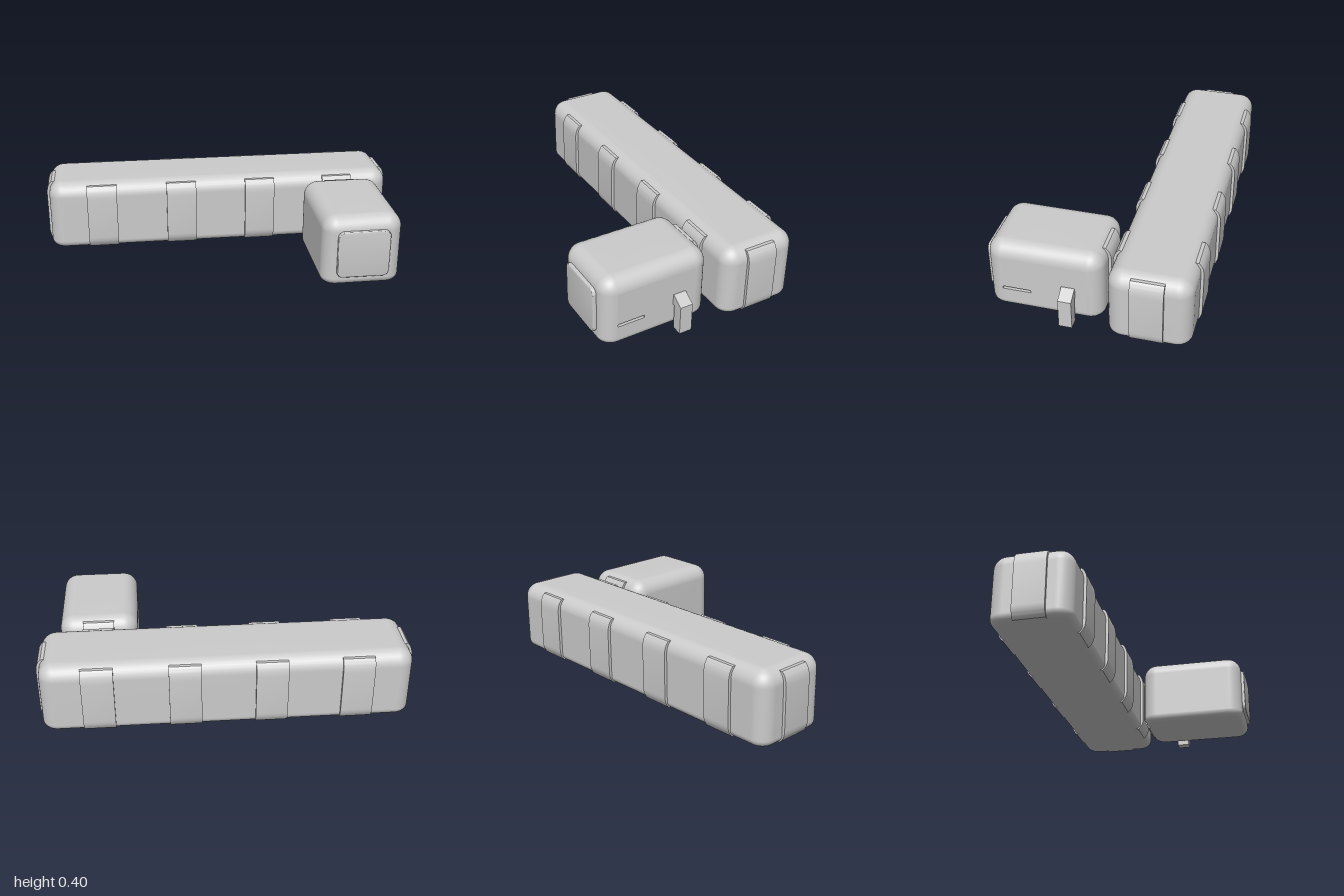
import * as THREE from 'three';
import { toCreasedNormals } from 'three/addons/utils/BufferGeometryUtils.js';

const material = new THREE.MeshStandardMaterial({ color: 0xcccccc });
const Y0 = 0.01, Y1 = 0.4;                       // underside and top of both bodies
const CORNER = 0.08, R_BOTTOM = 0.04, R_TOP = 0.08;
const STEPS = 8;

function add(parent, name, geometry) {
  const mesh = new THREE.Mesh(geometry, material);
  mesh.name = name;
  parent.add(mesh);
  return mesh;
}

// Box lofted from rounded rectangles: soft top edge, tighter bottom edge.
// openSide leaves out the flat of the +x wall so a slotted panel can fill it.
function softBox(w, d, openSide = false) {
  const rings = [];
  for (let i = 0; i <= STEPS; i++) {
    const a = (i / STEPS) * Math.PI / 2;
    rings.push([Y0 + R_BOTTOM * (1 - Math.cos(a)), R_BOTTOM * (1 - Math.sin(a))]);
  }
  for (let i = 0; i <= STEPS; i++) {
    const a = (i / STEPS) * Math.PI / 2;
    rings.push([Y1 - R_TOP * (1 - Math.sin(a)), R_TOP * (1 - Math.cos(a))]);
  }
  const pos = [], idx = [], n = 4 * (STEPS + 1);
  for (const [y, inset] of rings) {
    const r = Math.max(CORNER - inset, 0.002);
    for (let k = 0; k < 4; k++) {
      const sx = k === 0 || k === 3 ? 1 : -1, sz = k < 2 ? 1 : -1;
      for (let i = 0; i <= STEPS; i++) {
        const a = (k + i / STEPS) * Math.PI / 2;
        pos.push(sx * (w / 2 - CORNER) + r * Math.cos(a), y, sz * (d / 2 - CORNER) + r * Math.sin(a));
      }
    }
  }
  for (let j = 0; j < rings.length - 1; j++) {
    for (let i = 0; i < n; i++) {
      if (openSide && j === STEPS && i === n - 1) continue;
      const i2 = (i + 1) % n;
      const a = j * n + i, b = j * n + i2, c = a + n, e = b + n;
      idx.push(a, c, b, b, c, e);
    }
  }
  // flat caps
  const low = pos.length / 3, high = low + 1, top = (rings.length - 1) * n;
  pos.push(0, Y0, 0, 0, Y1, 0);
  for (let i = 0; i < n; i++) {
    const i2 = (i + 1) % n;
    idx.push(low, i, i2, high, top + i2, top + i);
  }
  const g = new THREE.BufferGeometry();
  g.setAttribute('position', new THREE.Float32BufferAttribute(pos, 3));
  g.setIndex(idx);
  g.computeVertexNormals();
  return g;
}

function roundedRect(w, h, r) {
  const s = new THREE.Shape();
  const x = w / 2 - r, y = h / 2 - r;
  s.absarc(x, y, r, 0, Math.PI / 2);
  s.absarc(-x, y, r, Math.PI / 2, Math.PI);
  s.absarc(-x, -y, r, Math.PI, Math.PI * 1.5);
  s.absarc(x, -y, r, Math.PI * 1.5, Math.PI * 2);
  s.closePath();
  return s;
}

// Raised vertical strip, profile in (outward, height)
function stripGeometry(width) {
  const s = new THREE.Shape();
  s.moveTo(-0.06, 0.011);
  s.lineTo(-0.014, 0.011);
  s.quadraticCurveTo(0.014, 0.035, 0.016, 0.075);
  s.lineTo(0.016, 0.31);
  s.quadraticCurveTo(0.014, 0.36, -0.012, 0.382);
  s.lineTo(-0.06, 0.382);
  s.closePath();
  const g = new THREE.ExtrudeGeometry(s, { depth: width, bevelEnabled: false, curveSegments: 8 });
  g.translate(0, 0, -width / 2);
  return toCreasedNormals(g, 0.5);
}

export function createModel() {
  const model = new THREE.Group();
  model.name = 'model';
  const strip = stripGeometry(0.17);
  const addStrip = (parent, name, x, z, turn) => {
    const m = add(parent, name, strip);
    m.position.set(x, 0, z);
    m.rotation.y = turn;
  };

  // Long body with strips along both sides and at both ends
  const bar = new THREE.Group();
  bar.name = 'longBody';
  bar.position.z = -0.325;
  model.add(bar);
  add(bar, 'longShell', softBox(1.968, 0.43));
  for (const x of [-0.685, -0.23, 0.225, 0.68]) {
    addStrip(bar, 'frontStrip', x, 0.215, -Math.PI / 2);
    addStrip(bar, 'backStrip', x, -0.215, Math.PI / 2);
  }
  addStrip(bar, 'leftEndStrip', 0.984, 0.005, 0);
  addStrip(bar, 'rightEndStrip', -0.984, 0.005, Math.PI);

  // Short body
  const w = 0.43, d = 0.606;
  const block = new THREE.Group();
  block.name = 'shortBody';
  block.position.set(0.68, 0, 0.233);
  model.add(block);
  add(block, 'shortShell', softBox(w, d, true));
  addStrip(block, 'shortBackStrip', 0, -d / 2, Math.PI / 2);

  // Side panel with a narrow slot
  const zHalf = d / 2 - CORNER, yLow = Y0 + R_BOTTOM, yHigh = Y1 - R_TOP;
  const panel = new THREE.Shape([
    new THREE.Vector2(-zHalf, yLow), new THREE.Vector2(zHalf, yLow),
    new THREE.Vector2(zHalf, yHigh), new THREE.Vector2(-zHalf, yHigh),
  ]);
  const slotZ = 0.148, slotY = 0.13, slotL = 0.15, slotH = 0.015, slotDepth = 0.03;
  const l = -slotZ - slotL / 2, r = -slotZ + slotL / 2, b = slotY - slotH / 2, t = slotY + slotH / 2;
  panel.holes.push(new THREE.Path([
    new THREE.Vector2(l, b), new THREE.Vector2(l, t),
    new THREE.Vector2(r, t), new THREE.Vector2(r, b),
  ]));
  const side = add(block, 'slottedPanel', new THREE.ShapeGeometry(panel));
  side.rotation.y = Math.PI / 2;
  side.position.x = w / 2;

  // Slot pocket: a box turned inside out
  const pocket = new THREE.BoxGeometry(slotDepth, slotH, slotL).scale(-1, 1, 1);
  pocket.computeVertexNormals();
  add(block, 'slotPocket', pocket).position.set(w / 2 - slotDepth / 2, slotY, slotZ);

  // Square front plate
  const plate = new THREE.ExtrudeGeometry(roundedRect(0.268, 0.25, 0.026), {
    depth: 0.03, bevelSize: 0.007, bevelThickness: 0.007, bevelSegments: 3, curveSegments: 6,
  });
  add(block, 'frontPlate', toCreasedNormals(plate, 0.5)).position.set(0, 0.197, d / 2 - 0.019);

  // Side latch: short arm with a sloping top and a hanging foot
  const latch = new THREE.Shape([
    [-0.02, 0.2], [-0.02, 0.14], [0.012, 0.14], [0.012, 0],
    [0.07, 0], [0.07, 0.163], [0.008, 0.2],
  ].map(([x, y]) => new THREE.Vector2(x, y)));
  const latchGeo = new THREE.ExtrudeGeometry(latch, { depth: 0.07, bevelEnabled: false });
  add(block, 'sideLatch', latchGeo).position.set(w / 2, 0, 0.07 - 0.233);

  return model;
}
